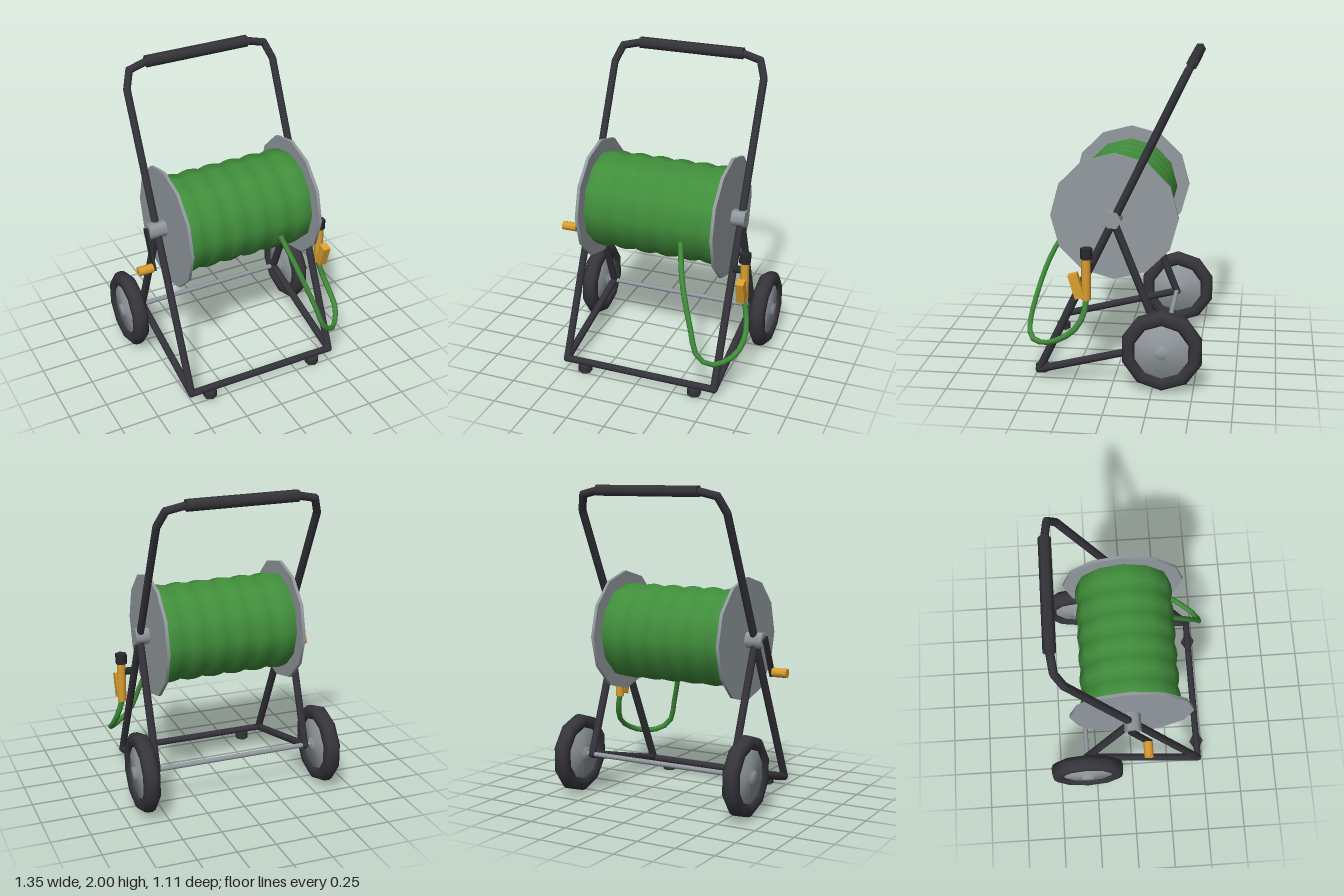
import * as THREE from 'three';

const mat = (name, color) => new THREE.MeshStandardMaterial({ name, color });
const V = (x, y, z) => new THREE.Vector3(x, y, z);

export function createModel() {
  const frame = mat('charcoal frame', 0x34333a);
  const rubber = mat('dark rubber', 0x35353a);
  const cap = mat('black plastic', 0x2a2a2f);
  const steel = mat('grey steel', 0x939a9f);
  const green = mat('green hose', 0x418f3c);
  const gold = mat('golden yellow', 0xdc9f30);

  const root = new THREE.Group();
  const CX = 0.008;              // middle plane of the cart
  const HUB_Y = 1.045, AXLE_Y = 0.262, AXLE_Z = -0.31;

  function add(name, geometry, material, pos = [0, 0, 0], parent = root) {
    const m = new THREE.Mesh(geometry, material);
    m.name = name;
    m.position.set(...pos);
    parent.add(m);
    return m;
  }
  // straight round bar between two points
  function rod(name, a, b, r, material, sides = 8, parent = root) {
    const m = add(name, new THREE.CylinderGeometry(r, r, a.distanceTo(b), sides), material, [0, 0, 0], parent);
    m.position.copy(a).lerp(b, 0.5);
    m.quaternion.setFromUnitVectors(V(0, 1, 0), b.clone().sub(a).normalize());
    return m;
  }
  // cylinder along x between x0 and x1
  function xCylinder(name, x0, x1, y, z, r, material, sides = 12) {
    const m = add(name, new THREE.CylinderGeometry(r, r, x1 - x0, sides), material, [(x0 + x1) / 2, y, z]);
    m.rotation.z = -Math.PI / 2;
    return m;
  }
  // profile of [radius, x] pairs turned about the x axis
  function xLathe(name, profile, sides, material, pos, parent = root) {
    const g = new THREE.LatheGeometry(profile.map(p => new THREE.Vector2(...p)), sides, Math.PI / 2);
    g.rotateZ(-Math.PI / 2);
    return add(name, g, material, pos, parent);
  }

  // Tubular frame: mirrored sides, each made of rods with round joints
  const R = 0.025;
  for (const s of [-1, 1]) {
    const side = new THREE.Group();
    side.name = s > 0 ? 'leftFrameSide' : 'rightFrameSide';
    root.add(side);
    const x = d => CX + s * d;
    const path = [V(x(0.508), 0.063, 0.465), V(x(0.508), 1.84, -0.388),
      V(x(0.468), 1.94, -0.437), V(x(0.35), 1.967, -0.452)];
    for (let i = 0; i < 3; i++) {
      rod('uprightTube', path[i], path[i + 1], R, frame, 8, side);
      add('tubeJoint', new THREE.SphereGeometry(R, 8, 6), frame, path[i].toArray(), side);
    }
    const axlePoint = V(x(0.508), AXLE_Y, AXLE_Z);
    rod('rearLeg', V(x(0.508), HUB_Y, 0), axlePoint, R, frame, 8, side);
    rod('lowerRail', path[0], axlePoint, R, frame, 8, side);
    add('axleJoint', new THREE.SphereGeometry(0.026, 8, 6), frame, axlePoint.toArray(), side);
    add('foot', new THREE.CylinderGeometry(0.045, 0.045, 0.046, 6), rubber, [x(0.378), 0.023, 0.467], side);
  }
  rod('frontCrossbar', V(CX - 0.508, 0.063, 0.465), V(CX + 0.508, 0.063, 0.465), 0.023, frame);
  xCylinder('handleGrip', -0.345, 0.36, 1.967, -0.453, 0.038, rubber, 6);

  // Axle and wheels
  xCylinder('axle', -0.64, 0.656, AXLE_Y, AXLE_Z, 0.016, steel, 8);
  const tyre = [[0.17, -0.036], [0.19, -0.05], [0.225, -0.05], [0.245, -0.036], [0.254, -0.015],
    [0.254, 0.015], [0.245, 0.036], [0.225, 0.05], [0.19, 0.05], [0.17, 0.036], [0.17, -0.036]];
  const rim = [[0, -0.06], [0.04, -0.06], [0.045, -0.038], [0.178, -0.028],
    [0.178, 0.028], [0.045, 0.038], [0.04, 0.06], [0, 0.06]];
  for (const s of [-1, 1]) {
    const wheel = new THREE.Group();
    wheel.name = s > 0 ? 'leftWheel' : 'rightWheel';
    wheel.position.set(CX + s * 0.604, AXLE_Y, AXLE_Z);
    root.add(wheel);
    xLathe('tyre', tyre, 10, rubber, [0, 0, 0], wheel);
    xLathe('rim', rim, 10, steel, [0, 0, 0], wheel);
  }

  // Reel: two flanges, hubs and the wound hose with its scalloped surface
  for (const x of [-0.438, 0.452]) xCylinder('reelFlange', x - 0.01, x + 0.01, HUB_Y, 0, 0.391, steel, 12);
  xCylinder('rightHub', -0.562, -0.44, HUB_Y, 0, 0.055, steel, 6);
  xCylinder('leftHub', 0.455, 0.55, HUB_Y, 0, 0.055, steel, 6);
  const wound = [];
  for (let i = 0; i <= 24; i++) {
    wound.push([0.302 + 0.014 * Math.abs(Math.sin(i * Math.PI / 4)), -0.43 + i * 0.0365]);
  }
  xLathe('woundHose', wound, 12, green, [0, HUB_Y, 0]);

  // Crank with its knob
  const crank = add('crankArm', new THREE.BoxGeometry(0.016, 0.27, 0.05), cap, [-0.571, 0.94, 0.046]);
  crank.rotation.x = -Math.atan2(0.095, 0.21);
  xCylinder('crankKnob', -0.677, -0.579, 0.835, 0.095, 0.03, gold, 8);

  // Loose end of the hose
  const hosePath = new THREE.CatmullRomCurve3([V(0.22, 0.955, 0.29), V(0.285, 0.74, 0.42),
    V(0.37, 0.49, 0.505), V(0.425, 0.33, 0.537), V(0.5, 0.27, 0.515), V(0.58, 0.265, 0.43),
    V(0.63, 0.3, 0.34), V(0.64, 0.37, 0.23), V(0.62, 0.47, 0.167), V(0.596, 0.57, 0.152)]);
  add('looseHose', new THREE.TubeGeometry(hosePath, 20, 0.018, 6), green);

  // Spray nozzle on its bracket
  add('nozzleBody', new THREE.CylinderGeometry(0.029, 0.029, 0.26, 8), gold, [0.597, 0.69, 0.152]);
  add('nozzleTip', new THREE.CylinderGeometry(0.038, 0.038, 0.066, 6), cap, [0.597, 0.852, 0.149]);
  const trigger = add('nozzleTrigger', new THREE.BoxGeometry(0.05, 0.155, 0.058), gold, [0.597, 0.648, 0.212]);
  trigger.rotation.x = 0.29;
  xCylinder('nozzleBracket', 0.52, 0.58, 0.762, 0.145, 0.024, cap, 6);

  return root;
}
